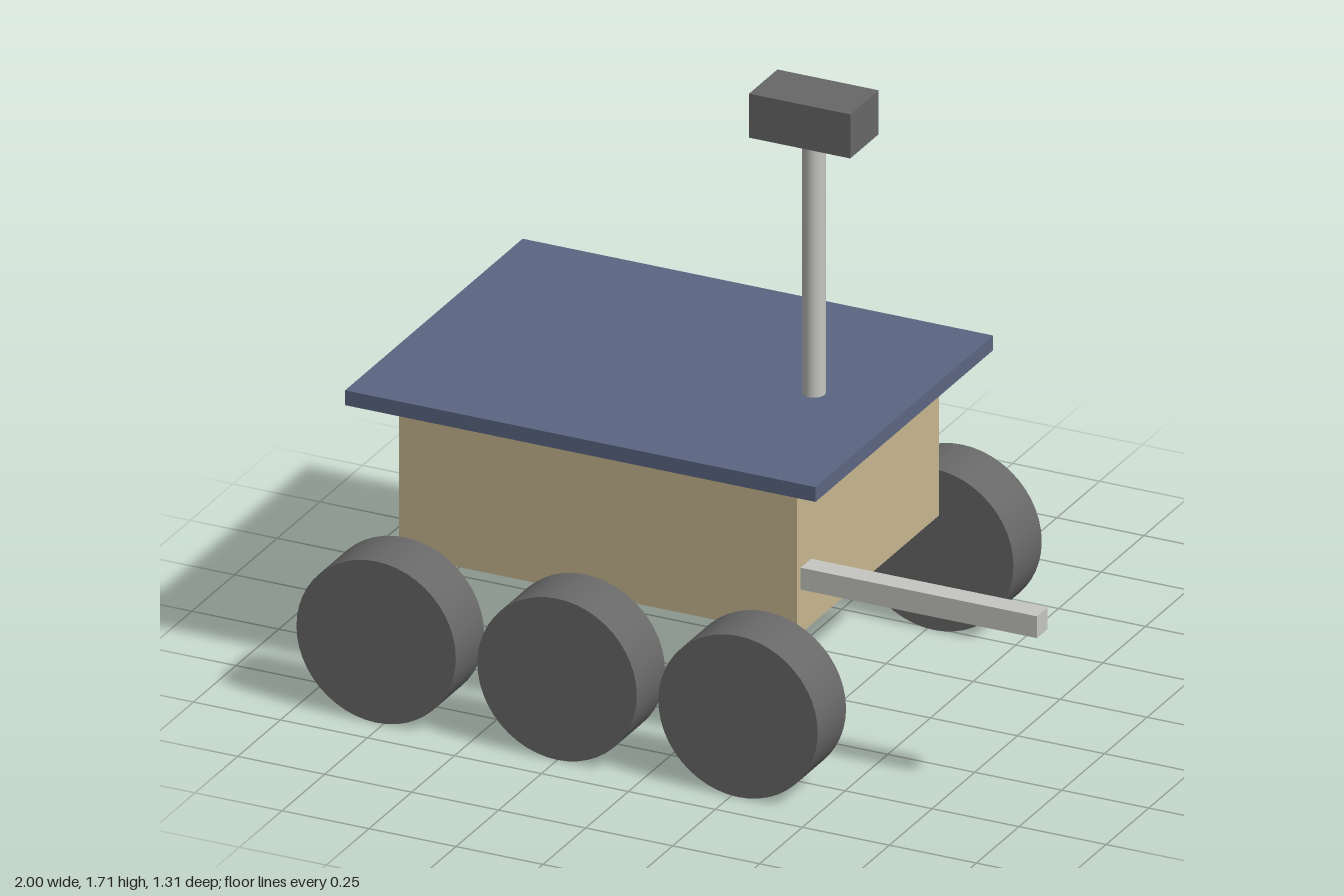
import * as THREE from 'three';

export function createModel() {
  const group = new THREE.Group();
  group.name = 'rover';

  const material = (name, color) => {
    const m = new THREE.MeshStandardMaterial({ color });
    m.name = name;
    return m;
  };
  const tan = material('tan', 0xc8b690);
  const blue = material('panelBlue', 0x5c6682);
  const dark = material('darkGrey', 0x686868);
  const light = material('lightGrey', 0xc6c6c2);

  const add = (name, geometry, mat, x, y, z) => {
    const mesh = new THREE.Mesh(geometry, mat);
    mesh.name = name;
    mesh.position.set(x, y, z);
    group.add(mesh);
    return mesh;
  };
  const box = (name, mat, w, h, d, x, y, z) =>
    add(name, new THREE.BoxGeometry(w, h, d), mat, x, y, z);

  // Chassis and the solar deck floating just above it
  box('body', tan, 1.144, 0.416, 0.832, -0.251, 0.575, 0);
  box('solarPanel', blue, 1.352, 0.042, 1.04, -0.251, 0.835, 0);

  // Mast with camera head
  add('mast', new THREE.CylinderGeometry(0.031, 0.031, 0.75, 24), light, 0.165, 1.215, 0);
  box('cameraHead', dark, 0.291, 0.125, 0.166, 0.165, 1.648, 0);

  // Tool arm reaching forward from the left corner
  box('arm', light, 0.7, 0.062, 0.062, 0.65, 0.523, 0.364);

  // Three wheels on each side
  const wheel = new THREE.CylinderGeometry(0.229, 0.229, 0.166, 48).rotateX(Math.PI / 2);
  for (const side of [-1, 1]) {
    for (const i of [-1, 0, 1]) {
      add('wheel', wheel, dark, -0.251 + i * 0.52, 0.229, side * 0.573);
    }
  }
  return group;
}
